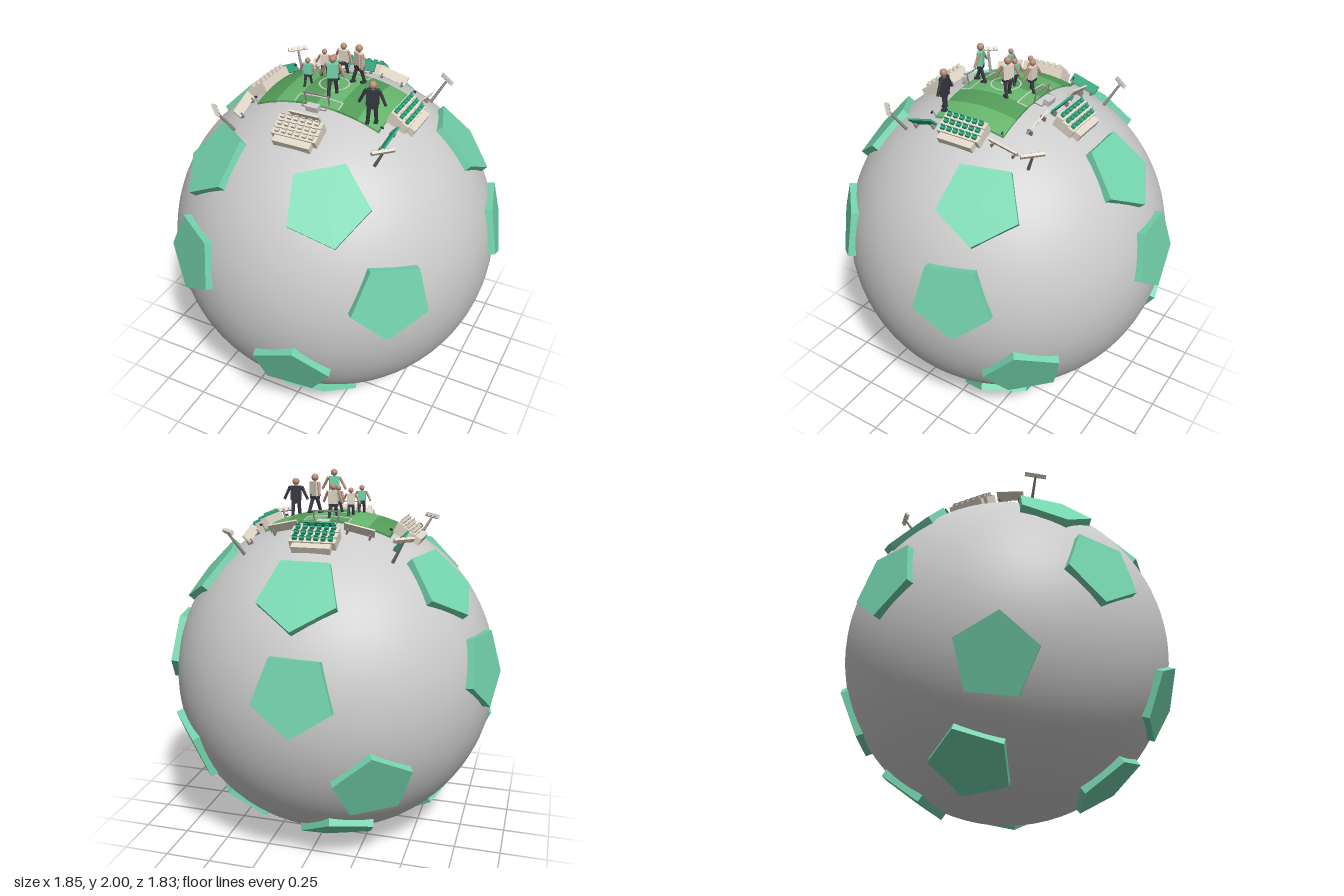
import * as THREE from 'three';

const R = 0.89;
const UP = new THREE.Vector3(0, 1, 0);
const paint = (color) => new THREE.MeshStandardMaterial({ color });
const grey = paint(0xcccccc), cream = paint(0xe2d8c8), mint = paint(0x74d4ae), seatGreen = paint(0x2fa57c);
const grassA = paint(0x66b56c), grassB = paint(0x539c59), white = paint(0xf0f0f0);
const dark = paint(0x35383f), skin = paint(0xb98d78), steel = paint(0x8f8a85);
const panelMat = paint(0x74d4ae);
panelMat.flatShading = true;

function add(parent, name, geo, mat, x = 0, y = 0, z = 0) {
  const m = new THREE.Mesh(geo, mat);
  m.name = name;
  m.position.set(x, y, z);
  parent.add(m);
  return m;
}
const box = (w, h, d) => new THREE.BoxGeometry(w, h, d);

// height of the globe above the ground at x, z
const ground = (x, z) => R + Math.sqrt(R * R - x * x - z * z);

// stand an object on the globe along the surface normal, turned by yaw
function plant(obj, x, z, yaw = 0) {
  const n = new THREE.Vector3(x, ground(x, z) - R, z).normalize();
  obj.position.set(x, ground(x, z), z);
  obj.quaternion.setFromUnitVectors(UP, n)
    .multiply(new THREE.Quaternion().setFromAxisAngle(UP, yaw));
  return obj;
}

// lay a flat geometry over the curve of the globe
function drape(geo) {
  const p = geo.attributes.position;
  for (let i = 0; i < p.count; i++) p.setY(i, p.getY(i) + ground(p.getX(i), p.getZ(i)));
  geo.computeVertexNormals();
  return geo;
}

// raised five-sided panels, in rings of [height from centre, angles in degrees]
function makePanels() {
  const g = new THREE.Group();
  g.name = 'panels';
  const geo = new THREE.CylinderGeometry(0.211, 0.211, 0.045, 5).rotateY(Math.PI);
  const rings = [
    [0.607, [180, 111, -111, -40.4, 23]],
    [0.165, [182, 104.5, -104.5, -30, 44]],
    [-0.335, [10.5, 128, -152, -65]],
    [-0.735, [16.6, 118, -162, -80]],
  ];
  for (const [h, angles] of rings) for (const a of angles) {
    const t = THREE.MathUtils.degToRad(a), r = Math.sqrt(0.907 ** 2 - h * h);
    const n = new THREE.Vector3(r * Math.sin(t), h, r * Math.cos(t)).normalize();
    const m = add(g, 'panel', geo, panelMat);
    m.position.copy(n).multiplyScalar(0.883).y += R;
    m.quaternion.setFromUnitVectors(UP, n);
  }
  return g;
}

function makePitch() {
  const g = new THREE.Group();
  g.name = 'pitch';
  const w = 0.68 / 6;
  for (let i = 0; i < 6; i++) {
    const geo = new THREE.BoxGeometry(w, 0.03, 0.405, 6, 1, 14).translate(-0.34 + w * (i + 0.5), -0.005, 0.01);
    add(g, 'stripe', drape(geo), i % 2 ? grassA : grassB);
  }
  // painted lines
  const line = (lx, lz, x, z) => add(g, 'line',
    drape(new THREE.BoxGeometry(lx, 0.004, lz, 8, 1, 8).translate(x, 0.011, z)), white);
  const ring = new THREE.RingGeometry(0.073, 0.081, 40).rotateX(-Math.PI / 2).translate(0, 0.013, 0.01);
  add(g, 'centreCircle', drape(ring), white);
  for (const s of [-1, 1]) {
    line(0.24, 0.006, 0, 0.01 + s * 0.145);
    for (const t of [-1, 1]) line(0.006, 0.055, t * 0.12, 0.01 + s * 0.172);
  }
  add(g, 'ball', new THREE.SphereGeometry(0.011, 12, 8), white, 0.02, 2 * R + 0.018, 0.02);
  // corner flags
  for (const sx of [-1, 1]) for (const sz of [-1, 1]) {
    const f = new THREE.Group();
    f.name = 'cornerFlag';
    add(f, 'flagPole', new THREE.CylinderGeometry(0.002, 0.002, 0.05, 6), steel, 0, 0.025, 0);
    add(f, 'flag', box(0.016, 0.012, 0.002), dark, 0.008, 0.044, 0);
    g.add(plant(f, sx * 0.335, 0.01 + sz * 0.198));
  }
  return g;
}

// goal frame with the net box behind it
function makeGoal() {
  const g = new THREE.Group();
  g.name = 'goal';
  for (const s of [-1, 1]) {
    add(g, 'post', box(0.006, 0.06, 0.006), steel, s * 0.065, 0.03, 0);
    add(g, 'netStay', box(0.004, 0.004, 0.045), steel, s * 0.065, 0.008, 0.022);
  }
  add(g, 'crossbar', box(0.136, 0.006, 0.006), steel, 0, 0.06, 0);
  add(g, 'netBar', box(0.13, 0.004, 0.004), steel, 0, 0.008, 0.045);
  add(g, 'bench', box(0.066, 0.03, 0.035), grey, 0, 0.015, 0.05);
  return g;
}

// stepped stand: +z points away from the pitch
function makeStand(seatMat) {
  const g = new THREE.Group();
  g.name = 'stand';
  for (let row = 0; row < 4; row++) {
    const h = 0.05 - row * 0.007, z = -0.05 + row * 0.037;
    add(g, 'step', box(row === 3 ? 0.2 : 0.24, h + 0.02, 0.037), cream, 0, h / 2 - 0.01, z);
    if (row < 3) for (let i = 0; i < 6; i++) {
      add(g, 'seat', box(0.022, 0.016, 0.016), seatMat, (i - 2.5) * 0.037, h + 0.006, z);
      add(g, 'seatBack', box(0.022, 0.02, 0.005), seatMat, (i - 2.5) * 0.037, h + 0.012, z - 0.009);
    }
  }
  return g;
}

function makeBoard(mat) {
  const g = new THREE.Group();
  g.name = 'board';
  const panel = add(g, 'boardPanel', box(0.16, 0.05, 0.01), mat, 0, 0.035, 0);
  panel.rotation.x = 0.3;
  for (const s of [-1, 1]) add(g, 'boardFoot', box(0.008, 0.03, 0.03), steel, s * 0.06, 0.01, 0);
  return g;
}

function makeFloodlight() {
  const g = new THREE.Group();
  g.name = 'floodlight';
  add(g, 'mast', new THREE.CylinderGeometry(0.006, 0.009, 0.16, 8), steel, 0, 0.07, 0);
  add(g, 'lampBar', box(0.115, 0.022, 0.014), cream, 0, 0.15, -0.004);
  for (let i = -1; i <= 1; i++) {
    const lamp = new THREE.CylinderGeometry(0.009, 0.009, 0.008, 10).rotateX(Math.PI / 2);
    add(g, 'lamp', lamp, white, i * 0.036, 0.15, -0.014);
  }
  return g;
}

// simple figure, one unit tall
function makePlayer(shirt, stride) {
  const g = new THREE.Group();
  g.name = 'player';
  const limb = (name, r, len, mat, x, y, rx, rz) => {
    const m = add(g, name, new THREE.CylinderGeometry(r, r * 0.8, len, 8).translate(0, -len / 2, 0), mat, x, y, 0);
    m.rotation.set(rx, 0, rz);
  };
  add(g, 'torso', box(0.27, 0.36, 0.14), shirt, 0, 0.62, 0);
  add(g, 'shorts', box(0.24, 0.12, 0.14), dark, 0, 0.42, 0);
  add(g, 'neck', new THREE.CylinderGeometry(0.035, 0.035, 0.08, 8), skin, 0, 0.82, 0);
  add(g, 'head', new THREE.SphereGeometry(0.09, 14, 10), skin, 0, 0.91, 0);
  for (const s of [-1, 1]) {
    limb('arm', 0.04, 0.36, shirt === dark ? dark : skin, s * 0.15, 0.78, -s * stride, s * 0.45);
    limb('leg', 0.05, 0.42, dark, s * 0.07, 0.42, s * stride, s * 0.05);
    add(g, 'boot', box(0.08, 0.05, 0.14), dark, s * 0.09, 0.025, 0.02 - s * stride * 0.35);
  }
  return g;
}

export function createModel() {
  const model = new THREE.Group();
  model.name = 'footballGlobe';
  add(model, 'globe', new THREE.SphereGeometry(R, 72, 48), grey, 0, R, 0);
  model.add(makePanels(), makePitch());
  model.add(plant(makeGoal(), 0, 0.195), plant(makeGoal(), 0, -0.195, Math.PI));

  // stands on the four sides
  const q = Math.PI / 2;
  model.add(plant(makeStand(cream), 0, 0.4), plant(makeStand(seatGreen), 0, -0.4, 2 * q));
  model.add(plant(makeStand(seatGreen), 0.4, 0, q), plant(makeStand(cream), -0.4, 0, -q));

  // boards around the pitch: x, z, yaw, material
  for (const [x, z, yaw, mat] of [
    [-0.195, -0.285, 2 * q, cream], [0.19, -0.285, 2 * q, cream],
    [0, -0.305, 2 * q, seatGreen], [0, 0.315, 0, cream],
    [-0.39, -0.225, -q, seatGreen], [-0.39, 0.235, -q, cream],
    [0.39, -0.225, q, cream], [0.39, 0.235, q, seatGreen],
  ]) model.add(plant(makeBoard(mat), x, z, yaw));

  for (const sx of [-1, 1]) for (const sz of [-1, 1])
    model.add(plant(makeFloodlight(), sx * 0.39, sz * 0.365, Math.atan2(sx, sz)));

  // figures: x, z, head height, size, yaw, shirt
  for (const [x, z, top, size, yaw, shirt] of [
    [0.29, 0.185, 1.94, 0.22, 0.2, dark], [0.05, 0.13, 2.0, 0.205, 0.4, mint],
    [0.1, -0.065, 1.99, 0.205, -0.6, cream], [-0.02, -0.135, 1.95, 0.185, 0, cream],
    [-0.1, -0.075, 1.925, 0.155, 0.3, cream], [-0.125, 0.06, 1.925, 0.155, 0.2, mint],
    [-0.02, -0.03, 1.93, 0.155, -0.4, mint],
  ]) {
    const p = makePlayer(shirt, shirt === dark ? 0.1 : 0.3);
    p.scale.setScalar(size);
    p.position.set(x, top - size, z);
    p.rotation.y = yaw;
    model.add(p);
  }
  return model;
}
